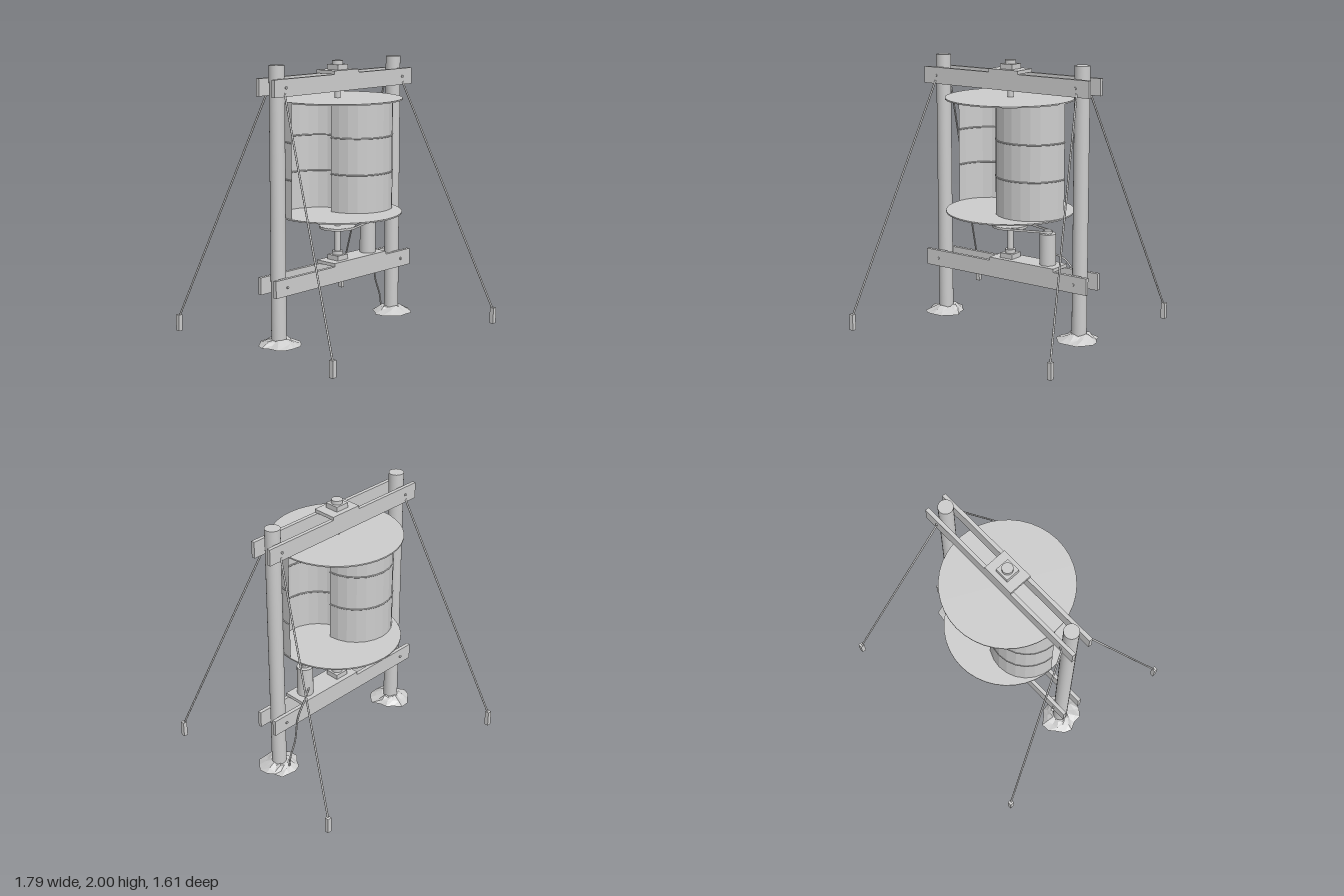
import * as THREE from 'three';

const grey = new THREE.MeshStandardMaterial({ color: 0xcccccc });
const thinGrey = new THREE.MeshStandardMaterial({ color: 0xcccccc, side: THREE.DoubleSide, flatShading: true });
const stoneGrey = new THREE.MeshStandardMaterial({ color: 0xcccccc, flatShading: true });

export function createModel() {
  const model = new THREE.Group();
  model.name = 'windTurbine';

  const add = (name, geometry, x = 0, y = 0, z = 0, material = grey) => {
    const mesh = new THREE.Mesh(geometry, material);
    mesh.name = name;
    mesh.position.set(x, y, z);
    model.add(mesh);
    return mesh;
  };
  // box and upright cylinder given by their bottom and top heights
  const box = (name, w, d, y0, y1, x = 0, z = 0) =>
    add(name, new THREE.BoxGeometry(w, y1 - y0, d), x, (y0 + y1) / 2, z);
  const rod = (name, r, y0, y1, x = 0, z = 0, sides = 24) =>
    add(name, new THREE.CylinderGeometry(r, r, y1 - y0, sides), x, (y0 + y1) / 2, z);

  // jagged footing: a low cone frustum with seeded displacement
  const footing = (name, x, seed) => {
    const g = new THREE.CylinderGeometry(0.07, 0.147, 0.045, 15, 2);
    const p = g.attributes.position;
    const noise = (a, b) => {
      const s = Math.sin(a * 127.1 + b * 311.7 + seed * 74.7) * 43758.5453;
      return s - Math.floor(s) - 0.5;
    };
    for (let i = 0; i < p.count; i++) {
      const px = p.getX(i), py = p.getY(i), pz = p.getZ(i);
      const a = Math.round(px * 1000) + 0, b = Math.round(pz * 1000) + 0;
      const k = 1 + 0.32 * noise(a, b);
      const lift = py > -0.02 ? 0.02 * noise(b, a) : 0;
      p.setXYZ(i, px * k, py + lift, pz * k);
    }
    add(name, g, x, 0.0275, 0, stoneGrey);
  };

  // posts, footings, guy wires and stakes
  for (const sx of [-1, 1]) {
    const side = sx > 0 ? 'left' : 'right';
    rod(side + 'Post', 0.055, 0.005, 2, sx * 0.61);
    footing(side + 'Footing', sx * 0.61, sx > 0 ? 2 : 5);
    for (const sz of [-1, 1]) {
      const wire = new THREE.LineCurve3(
        new THREE.Vector3(sx * 0.618, 1.815, sz * 0.085),
        new THREE.Vector3(sx * 0.876, 0.115, sz * 0.785));
      add(side + 'GuyWire', new THREE.TubeGeometry(wire, 1, 0.007, 8));
      box(side + 'Stake', 0.033, 0.033, 0.005, 0.127, sx * 0.878, sz * 0.787);
      // bolts through the crossbeams
      for (const y of [0.44, 1.85]) {
        const bolt = add(side + 'Bolt', new THREE.CylinderGeometry(0.01, 0.01, 0.01, 8), sx * 0.61, y, sz * 0.094);
        bolt.rotation.x = Math.PI / 2;
      }
    }
  }

  // paired crossbeams
  for (const sz of [-1, 1]) {
    box('lowerBeam', 1.44, 0.028, 0.378, 0.503, 0, sz * 0.077);
    box('upperBeam', 1.44, 0.028, 1.787, 1.91, 0, sz * 0.077);
  }

  // bearing plates, bearings and shaft
  box('upperPlate', 0.254, 0.182, 1.91, 1.935);
  box('lowerPlate', 0.567, 0.182, 0.503, 0.528, 0.157);
  for (const y of [0.528, 1.935]) {
    box('bearingBlock', 0.108, 0.108, y, y + 0.037);
    rod('bearingCollar', 0.04, y + 0.037, y + 0.065);
  }
  rod('shaft', 0.022, 0.528, 1.995);

  // rotor: two end discs and two offset half-drum blades
  const y0 = 0.89, y1 = 1.725;
  for (const y of [y0, y1]) rod('rotorDisc', 0.474, y - 0.005, y + 0.005, 0, 0, 40);
  for (const s of [1, -1]) {
    // thetaStart is measured from +z toward +x
    const start = s > 0 ? -Math.PI / 2 : Math.PI / 2;
    add('rotorBlade', new THREE.CylinderGeometry(0.271, 0.271, y1 - y0, 12, 1, true, start, Math.PI),
      s * 0.2, (y0 + y1) / 2, 0, thinGrey);
    for (const y of [1.175, 1.443]) {
      const rib = add('bladeRib', new THREE.TorusGeometry(0.27, 0.006, 6, 12, Math.PI), s * 0.2, y, 0);
      rib.rotation.x = s * Math.PI / 2;
    }
  }

  // generator, pulleys and belt
  const gx = 0.332, R = 0.132, r = 0.03;
  rod('generator', 0.06, 0.528, 0.76, gx);
  rod('smallPulley', r, 0.76, 0.784, gx);
  rod('largePulley', R, 0.764, 0.782, 0, 0, 32);
  const loop = (Path, grow) => {
    const phi = Math.acos((R - r) / gx), path = new Path();
    path.absarc(0, 0, R + grow, phi, 2 * Math.PI - phi, false);
    path.absarc(gx, 0, r + grow, -phi, phi, false);
    path.closePath();
    return path;
  };
  const beltShape = loop(THREE.Shape, 0.005);
  beltShape.holes.push(loop(THREE.Path, -0.002));
  const belt = add('belt', new THREE.ExtrudeGeometry(beltShape, { depth: 0.016, bevelEnabled: false, curveSegments: 20 }), 0, 0.765, 0);
  belt.rotation.x = -Math.PI / 2;

  // power cable running down behind the left post
  const cable = new THREE.CatmullRomCurve3([
    [0.34, 0.6, -0.05], [0.42, 0.56, -0.093], [0.51, 0.44, -0.107],
    [0.55, 0.25, -0.112], [0.59, 0.13, -0.105], [0.6, 0.04, -0.098],
  ].map(p => new THREE.Vector3(...p)));
  add('cable', new THREE.TubeGeometry(cable, 24, 0.007, 8));

  return model;
}
